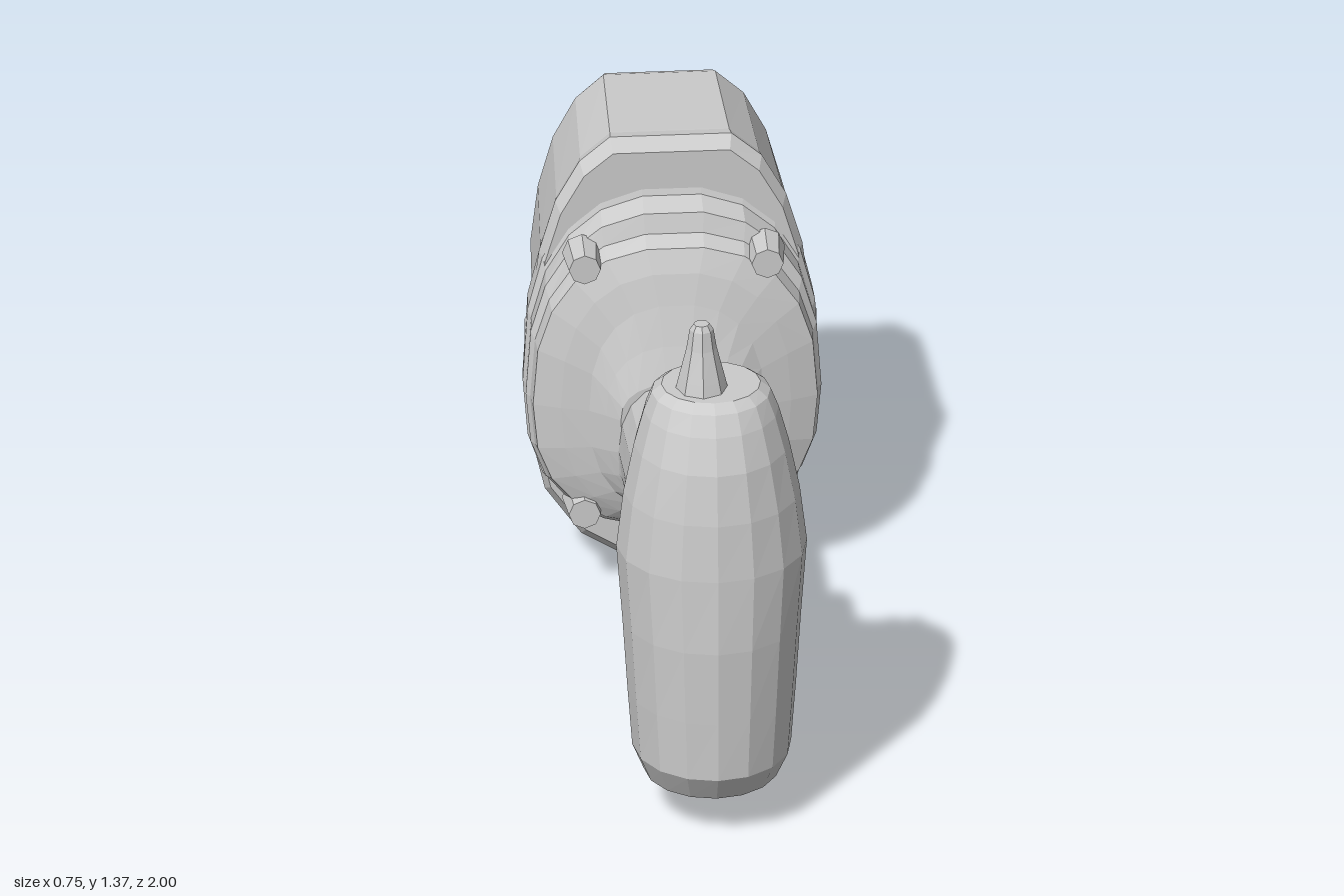
import * as THREE from 'three';

const material = new THREE.MeshStandardMaterial({ color: 0xcccccc, flatShading: true });

// Skin a list of closed rings (counter-clockwise about the travel axis) and cap both ends.
function loft(name, rings) {
  const n = rings[0].length, pos = [], idx = [];
  rings.forEach(r => r.forEach(p => pos.push(...p)));
  for (let k = 0; k < rings.length - 1; k++) {
    for (let i = 0; i < n; i++) {
      const j = (i + 1) % n, a = k * n + i, b = k * n + j;
      idx.push(a, b, b + n, a, b + n, a + n);
    }
  }
  [0, rings.length - 1].forEach((k, end) => {
    const c = pos.length / 3;
    pos.push(...[0, 1, 2].map(d => rings[k].reduce((s, p) => s + p[d], 0) / n));
    for (let i = 0; i < n; i++) {
      const a = k * n + i, b = k * n + (i + 1) % n;
      end ? idx.push(c, a, b) : idx.push(c, b, a);
    }
  });
  const g = new THREE.BufferGeometry();
  g.setAttribute('position', new THREE.Float32BufferAttribute(pos, 3));
  g.setIndex(idx);
  const flat = g.toNonIndexed();
  flat.computeVertexNormals();
  const mesh = new THREE.Mesh(flat, material);
  mesh.name = name;
  return mesh;
}

const pow = (v, e) => Math.sign(v) * Math.abs(v) ** e;

// Horizontal oval: height y, half width, back z, front z, centre x.
function ringY([y, w, z0, z1, cx = 0], n = 16) {
  return Array.from({ length: n }, (_, i) => {
    const t = (i / n) * Math.PI * 2;
    return [cx + w * Math.sin(t), y, (z0 + z1) / 2 + (z1 - z0) / 2 * Math.cos(t)];
  });
}

// Upright oval: z, half width, bottom, top, height of the widest point, squareness.
function ringZ([z, w, y0, y1, mid = (y0 + y1) / 2, e = 0.85], n = 18) {
  return Array.from({ length: n }, (_, i) => {
    const t = (i / n) * Math.PI * 2, s = Math.sin(t);
    return [w * pow(Math.cos(t), e), mid + (s > 0 ? y1 - mid : mid - y0) * pow(s, e), z];
  });
}

// Battery outline with clip recesses in both sides when notch is small.
function batteryRing(z, sx, sy, notch) {
  const half = [[0.09, 0], [0.22, 0.08], [0.31, 0.21], [0.345, 0.36], [0.352, 0.46],
    [notch, 0.49], [notch, 0.69], [0.345, 0.72], [0.325, 0.88], [0.285, 1.02],
    [0.225, 1.13], [0.15, 1.195]];
  const all = [...half, ...half.map(([x, y]) => [-x, y]).reverse()];
  return all.map(([x, y]) => [x * sx, 0.6 + (y - 0.6) * sy, z]);
}

export function createModel() {
  const model = new THREE.Group();

  // Upright motor barrel
  model.add(loft('motorHousing', [
    [0.09, 0.11, 0.64, 0.86], [0.115, 0.17, 0.58, 0.94], [0.19, 0.2, 0.55, 0.99],
    [0.35, 0.212, 0.545, 0.995], [0.55, 0.225, 0.54, 1], [0.75, 0.24, 0.54, 0.992],
    [0.9, 0.222, 0.545, 0.978], [1.03, 0.195, 0.555, 0.955], [1.12, 0.17, 0.575, 0.92],
    [1.17, 0.15, 0.6, 0.89], [1.19, 0.125, 0.63, 0.86],
  ].map(r => ringY(r))));

  // Tapered bit holder on the top of the barrel
  model.add(loft('bitHolder', [
    [1.17, 0.07, 0.69, 0.84, -0.025], [1.22, 0.058, 0.705, 0.825, -0.025],
    [1.3, 0.038, 0.725, 0.8, -0.025], [1.35, 0.03, 0.73, 0.79, -0.025],
    [1.365, 0.02, 0.74, 0.78, -0.025],
  ].map(r => ringY(r, 8))));

  // Handle flaring into the barrel
  model.add(loft('handle', [
    [-0.4, 0.17, 0.25, 0.69, 0.45], [-0.34, 0.15, 0.26, 0.63, 0.44],
    [-0.2, 0.147, 0.275, 0.65, 0.45], [0, 0.14, 0.3, 0.665, 0.47],
    [0.15, 0.133, 0.325, 0.68, 0.49], [0.28, 0.128, 0.345, 0.72, 0.51],
    [0.4, 0.128, 0.35, 0.83, 0.52], [0.46, 0.14, 0.26, 0.93, 0.52],
    [0.52, 0.165, 0.17, 1, 0.53], [0.57, 0.19, 0.12, 1.03, 0.54],
    [0.66, 0.19, 0.12, 1.05, 0.55],
  ].map(r => ringZ(r))));

  // Trigger between handle and barrel
  model.add(loft('trigger', [
    [0.14, 0.06, 0.55, 0.68], [0.19, 0.08, 0.55, 0.77], [0.225, 0.085, 0.55, 0.86],
    [0.25, 0.08, 0.55, 0.88], [0.38, 0.085, 0.55, 0.89], [0.43, 0.09, 0.55, 0.94],
    [0.5, 0.1, 0.55, 1.005], [0.57, 0.11, 0.55, 1.04],
  ].map(([z, w, y0, y1]) => ringZ([z, w, y0, y1, y0 + 0.05, 0.65], 14))));

  // Stepped foot of the handle that holds the battery
  model.add(loft('batteryMount', [
    [-0.63, 0.37, 0.08, 1.14], [-0.575, 0.374, 0.1, 1.1], [-0.56, 0.366, 0.15, 1.05],
    [-0.5, 0.372, 0.15, 1.03], [-0.485, 0.362, 0.15, 0.98], [-0.44, 0.358, 0.18, 0.96],
    [-0.415, 0.29, 0.21, 0.9], [-0.395, 0.22, 0.24, 0.82], [-0.365, 0.18, 0.25, 0.72],
    [-0.335, 0.145, 0.27, 0.63],
  ].map(([z, w, y0, y1]) => ringZ([z, w, y0, y1, 0.53, 0.82], 22))));

  // Battery block with a recessed clip on each side
  model.add(loft('battery', [
    batteryRing(-1, 0.9, 0.955, 0.27), batteryRing(-0.975, 0.94, 0.97, 0.27),
    batteryRing(-0.64, 1, 0.99, 0.285), batteryRing(-0.635, 1, 0.99, 0.352),
    batteryRing(-0.6, 1.02, 1, 0.36), batteryRing(-0.565, 0.98, 0.95, 0.352),
  ]));

  for (const side of [-1, 1]) {
    // Raised release button inside each recess
    const clip = new THREE.Mesh(new THREE.BoxGeometry(0.06, 0.14, 0.12), material);
    clip.name = 'batteryClip';
    clip.position.set(side * 0.285, 0.59, -0.74);
    clip.rotation.y = side * 0.2;
    model.add(clip);
    // Screw bosses at the corners of the mount
    for (const y of [0.23, 0.92]) {
      const boss = new THREE.Mesh(new THREE.CylinderGeometry(0.04, 0.05, 0.1, 8), material);
      boss.name = 'screwBoss';
      boss.rotation.x = Math.PI / 2;
      boss.position.set(side * 0.23, y, -0.46);
      model.add(boss);
    }
  }
  return model;
}
